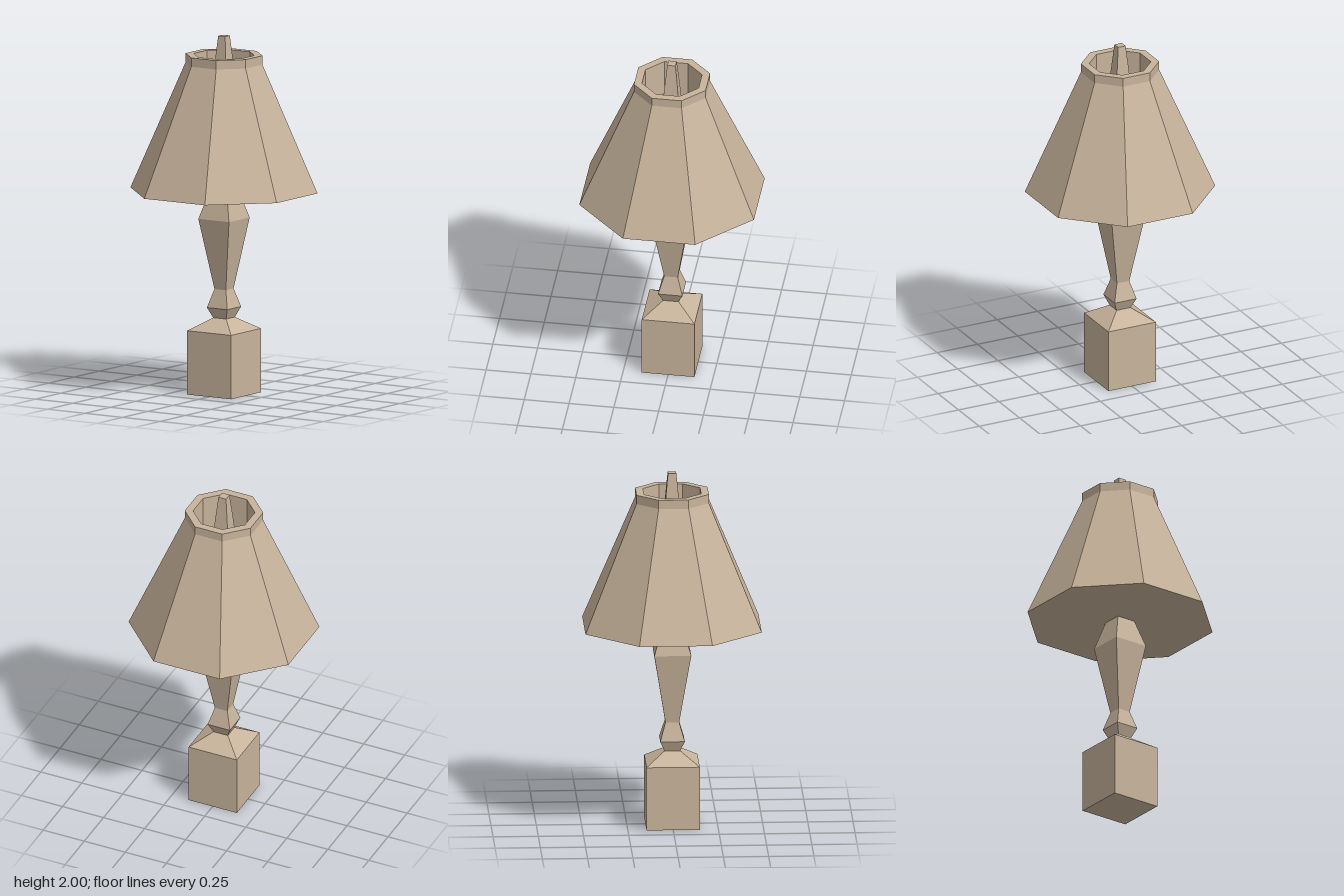
import * as THREE from 'three';

const material = new THREE.MeshStandardMaterial({ color: 0xc8b49c, flatShading: true });

// Faceted solid from a profile of [half width across flats, height], bottom to top
function facetedSolid(name, sides, profile) {
  const toCorner = 1 / Math.cos(Math.PI / sides);
  const points = profile.map(([half, y]) => new THREE.Vector2(half * toCorner, y));
  const geometry = new THREE.LatheGeometry(points, sides, Math.PI / sides).toNonIndexed();
  geometry.computeVertexNormals();
  const mesh = new THREE.Mesh(geometry, material);
  mesh.name = name;
  return mesh;
}

export function createModel() {
  const lamp = new THREE.Group();
  lamp.name = 'tableLamp';

  // Square block foot with a sloped top
  lamp.add(facetedSolid('base', 4, [
    [0, 0], [0.147, 0], [0.147, 0.357], [0.043, 0.425],
  ]));

  // Square turned stem: knob, neck and vase-shaped body
  lamp.add(facetedSolid('stem', 4, [
    [0.043, 0.425], [0.068, 0.483], [0.038, 0.585],
    [0.102, 0.98], [0.057, 1.135],
  ]));

  // Octagonal shade with a closed underside, top band and recessed top
  lamp.add(facetedSolid('shade', 8, [
    [0, 1.135], [0.487, 1.135], [0.2, 1.845], [0.2, 1.895],
    [0.158, 1.895], [0.158, 1.68], [0, 1.68],
  ]));

  // Tapered square finial rising from the recess
  lamp.add(facetedSolid('finial', 4, [
    [0.052, 1.68], [0.033, 1.895], [0.023, 2], [0, 2],
  ]));

  return lamp;
}
